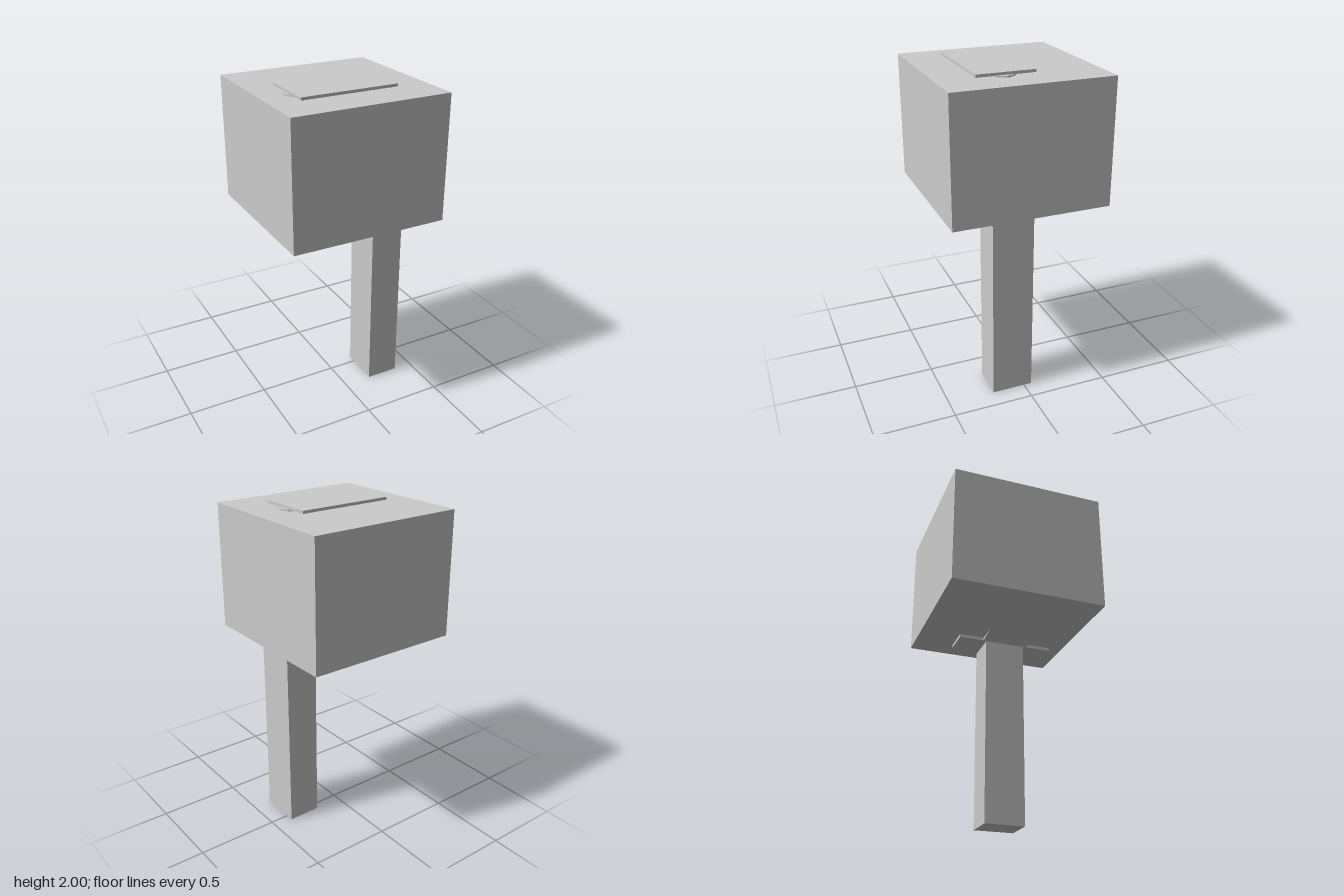
import * as THREE from 'three';

export function createModel() {
  const group = new THREE.Group();
  const material = new THREE.MeshStandardMaterial({ color: 0xcccccc, flatShading: true });

  const add = (name, geometry) => {
    const mesh = new THREE.Mesh(geometry, material);
    mesh.name = name;
    group.add(mesh);
    return mesh;
  };

  // Box given by its lower and upper corners
  const box = (name, [x0, y0, z0], [x1, y1, z1]) =>
    add(name, new THREE.BoxGeometry(x1 - x0, y1 - y0, z1 - z0))
      .position.set((x0 + x1) / 2, (y0 + y1) / 2, (z0 + z1) / 2);

  // Outline in (x, z), extruded upwards from y
  const slab = (name, outline, y, depth) => {
    const shape = new THREE.Shape(outline.map(([x, z]) => new THREE.Vector2(x, -z)));
    const geometry = new THREE.ExtrudeGeometry(shape, { depth, bevelEnabled: false });
    return add(name, geometry.rotateX(-Math.PI / 2).translate(0, y, 0));
  };

  // Large block on an off-centre post
  box('head', [-0.485, 1.21, -0.48], [0.485, 1.975, 0.48]);
  const post = add('post', new THREE.BoxGeometry(0.205, 1.21, 0.257));
  post.position.set(0.279, 0.605, 0.079);

  // Collar plate between post and block, with clipped outer corners
  slab('collar', [
    [0.17, -0.23], [0.34, -0.23], [0.38, -0.07],
    [0.38, 0.23], [0.34, 0.39], [0.17, 0.39],
  ], 1.19, 0.022);

  // Shallow wedge running from the collar up to the block
  const wedge = new THREE.Shape([
    new THREE.Vector2(0.02, 1.211), new THREE.Vector2(0.17, 1.192), new THREE.Vector2(0.17, 1.211),
  ]);
  add('collarWedge', new THREE.ExtrudeGeometry(wedge, { depth: 0.3, bevelEnabled: false }))
    .position.z = -0.07;

  // Thin oval under a raised rectangular plate on top
  const oval = add('topOval', new THREE.CylinderGeometry(1, 1, 0.01, 16));
  oval.scale.set(0.328, 1, 0.135);
  oval.position.set(-0.018, 1.979, 0.09);
  box('topPlate', [-0.32, 1.983, -0.09], [0.28, 2, 0.26]);

  return group;
}
